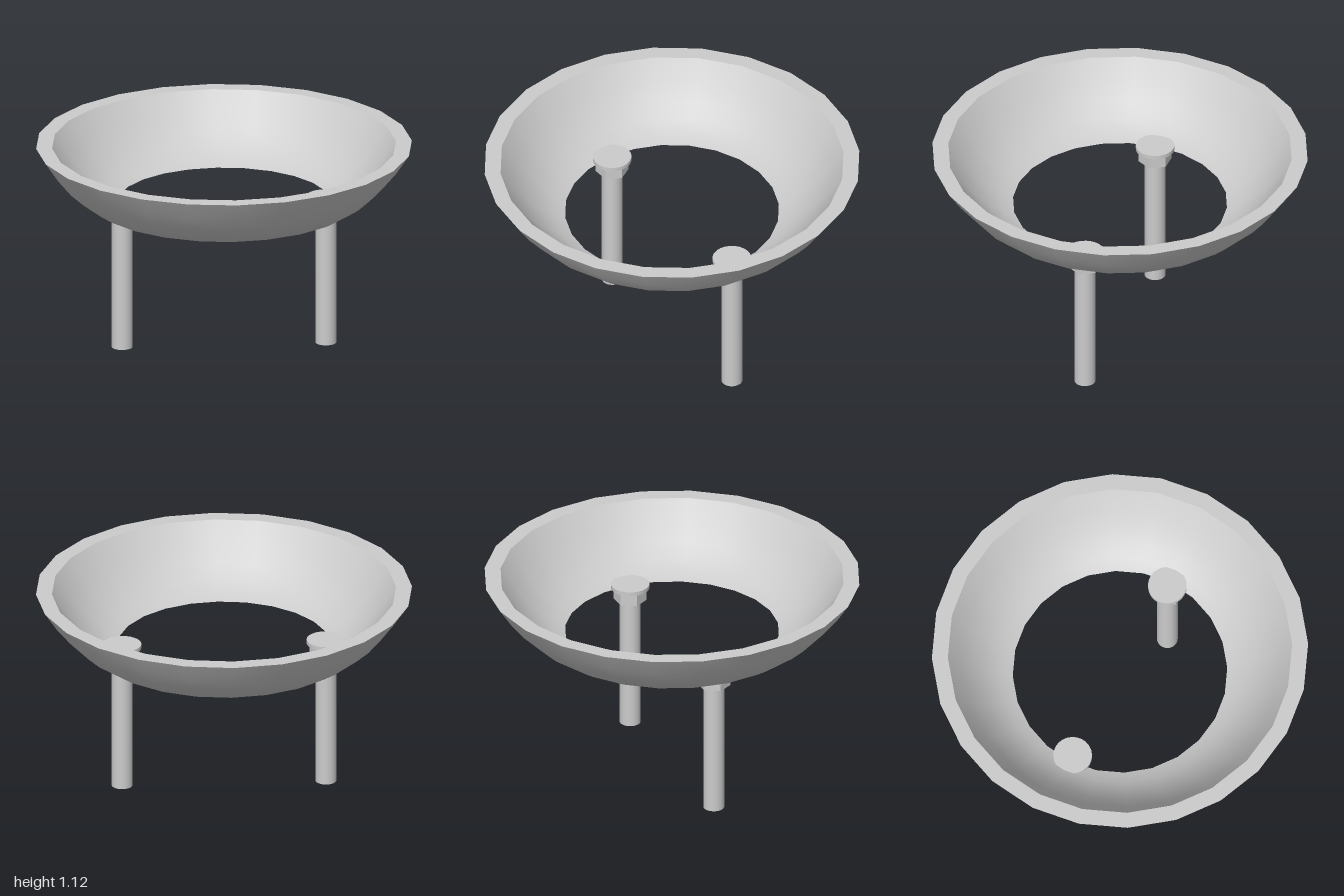
import * as THREE from 'three';

const grey = new THREE.MeshStandardMaterial({ color: 0xcccccc });
const greyFlat = new THREE.MeshStandardMaterial({ color: 0xcccccc, flatShading: true });

function addMesh(parent, name, geometry, material = grey) {
  const mesh = new THREE.Mesh(geometry, material);
  mesh.name = name;
  parent.add(mesh);
  return mesh;
}

// Upright cylinder between two heights
function addPost(parent, name, radius, y0, y1, sides, material) {
  const mesh = addMesh(parent, name, new THREE.CylinderGeometry(radius, radius, y1 - y0, sides), material);
  mesh.position.y = (y0 + y1) / 2;
  return mesh;
}

// Open curved ring: outer and inner walls joined by a flat rim and a flat base
function createBowl() {
  const bowl = new THREE.Group();
  bowl.name = 'bowl';
  const wall = 0.085;
  const outer = [[0.655, 0.797], [0.72, 0.82], [0.79, 0.867], [0.86, 0.931], [0.93, 1.016], [1, 1.12]]
    .map(([r, y]) => new THREE.Vector2(r, y));
  const inner = outer.map(p => new THREE.Vector2(p.x - wall, p.y)).reverse();
  const sections = {
    outerWall: outer,
    rim: [outer[outer.length - 1], inner[0]],
    innerWall: inner,
    base: [inner[inner.length - 1], outer[0]],
  };
  for (const [name, profile] of Object.entries(sections)) {
    addMesh(bowl, name, new THREE.LatheGeometry(profile, 24));
  }
  return bowl;
}

// Long bolt with a flat round head inside the bowl and a hex nut beneath it
function createBolt(side) {
  const bolt = new THREE.Group();
  bolt.name = side > 0 ? 'leftBolt' : 'rightBolt';
  addPost(bolt, 'shank', 0.056, 0, 0.81, 24);
  addPost(bolt, 'head', 0.103, 0.8, 0.822, 24);
  addPost(bolt, 'nut', 0.088, 0.73, 0.8, 6, greyFlat).rotation.y = Math.PI / 6;
  bolt.position.x = side * 0.542;
  return bolt;
}

export function createModel() {
  const model = new THREE.Group();
  model.name = 'bowlRingWithBolts';
  model.add(createBowl());
  for (const side of [-1, 1]) model.add(createBolt(side));
  return model;
}
